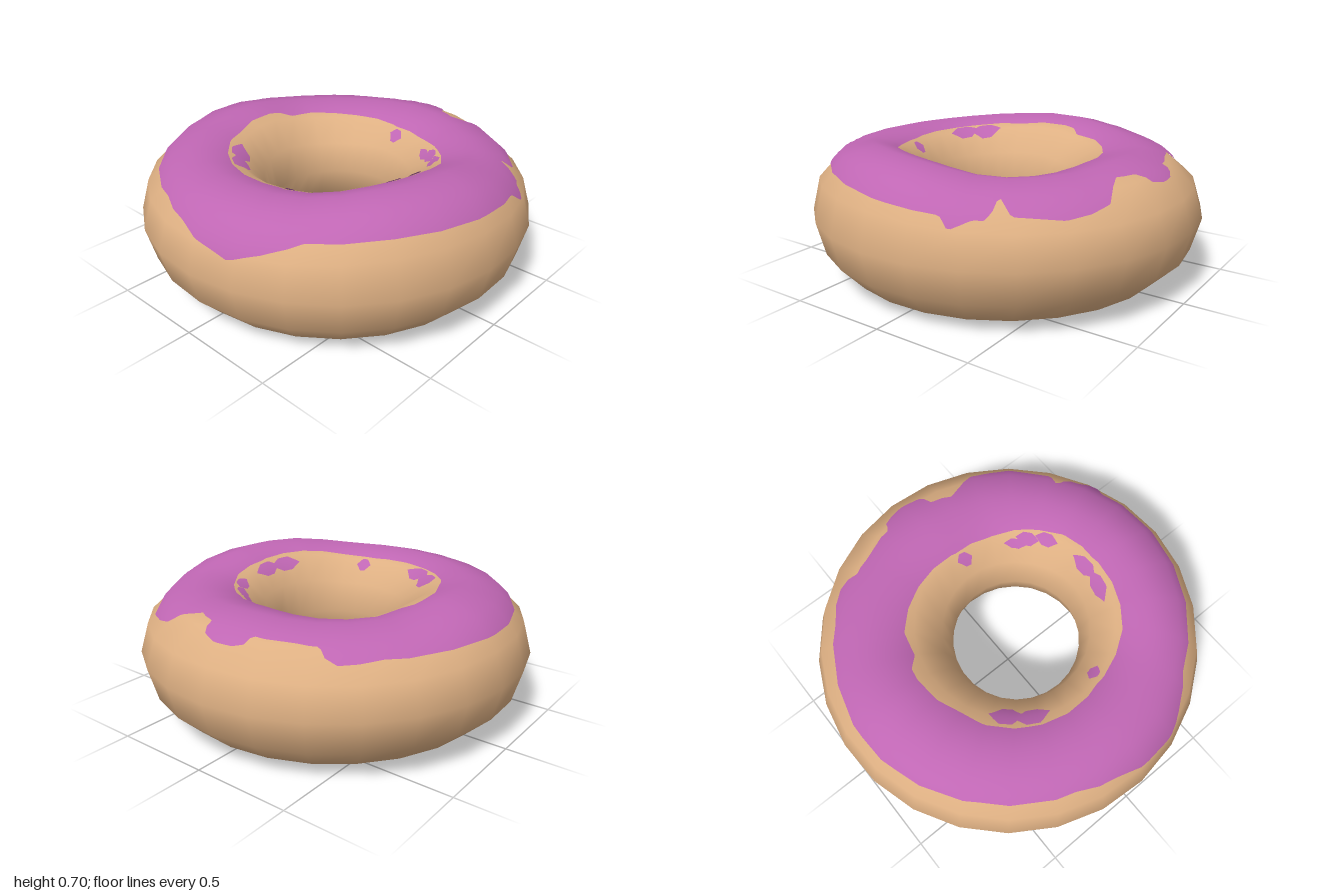
import * as THREE from 'three';

const RING = 0.665, TUBE = 0.332, SEG = 26, SIDES = 12;
const DEG = Math.PI / 180, PHASE = -2.3 * DEG;
const STEP_T = 2 * Math.PI / SEG, STEP_P = 2 * Math.PI / SIDES;

// Crest height every 30 degrees, from +x towards +z
const CREST = [0.645, 0.63, 0.632, 0.68, 0.687, 0.652, 0.647, 0.644, 0.657, 0.67, 0.634, 0.63];

// Icing edges as [angle in degrees, radius seen from above]
const OUTER = [[0, 0.87], [5, 0.85], [7, 0.78], [15, 0.76], [21, 0.82], [25.5, 0.885], [32, 0.91],
  [40, 0.92], [54, 0.9], [57, 0.82], [59, 0.89], [61, 0.92], [64, 0.92], [70, 0.955], [73, 0.92],
  [90, 0.92], [124, 0.905], [146, 0.9], [157, 0.945], [166, 0.97], [177, 0.95], [186, 0.925],
  [199, 0.9], [228, 0.9], [257, 0.91], [270, 0.91], [290, 0.89], [309, 0.875], [322, 0.89],
  [325.5, 0.86], [327, 0.81], [334, 0.8], [348, 0.8], [349.5, 0.85], [353, 0.868], [360, 0.87]];
const INNER = [[0, 0.46], [24, 0.48], [45, 0.52], [69, 0.55], [90, 0.54], [111, 0.55], [135, 0.56],
  [170, 0.54], [190, 0.55], [212, 0.55], [236, 0.54], [247, 0.52], [259, 0.53], [281, 0.53],
  [288, 0.485], [302, 0.51], [325, 0.49], [348, 0.47], [360, 0.46]];
// Loose icing spots in the hole: [from angle, to angle, inner radius, outer radius]
const SPOTS = [[199, 220, 0.46, 0.54], [214, 234, 0.44, 0.53], [159, 169, 0.46, 0.52],
  [79, 100, 0.46, 0.52], [94, 117, 0.46, 0.52], [32, 47, 0.43, 0.47], [40, 55, 0.45, 0.51],
  [52, 67, 0.47, 0.53], [-2, 9, 0.39, 0.45]];

function crest(t) {
  const f = ((t / (30 * DEG)) % 12 + 12) % 12, i = Math.floor(f), u = f - i;
  const [a, b, c, d] = [-1, 0, 1, 2].map(k => CREST[(i + k + 12) % 12]);
  return b + 0.5 * u * (c - a + u * (2 * a - 5 * b + 4 * c - d + u * (3 * (b - c) + d - a)));
}

// Smooth ring: t runs round the ring, p round the tube from the outside upwards
function ring(t, p) {
  const r = RING + TUBE * Math.cos(p), s = Math.sin(p), w = (1 - Math.cos(p)) / 2;
  const y = 0.335 + (s > 0 ? crest(t) - 0.335 : 0.335) * s;
  return new THREE.Vector3(r * Math.cos(t) - 0.025 * w, y, r * Math.sin(t) + 0.035 * w);
}

function ringNormal(t, p) {
  const e = 0.01;
  const dt = ring(t + e, p).sub(ring(t - e, p)), dp = ring(t, p + e).sub(ring(t, p - e));
  return dp.cross(dt).normalize();
}

// Point on the faceted ring
function facet(t, p) {
  const i = Math.floor((t - PHASE) / STEP_T + 1e-6), j = Math.floor(p / STEP_P + 1e-6);
  const t0 = PHASE + i * STEP_T, p0 = j * STEP_P;
  const u = (t - t0) / STEP_T, v = (p - p0) / STEP_P;
  const low = ring(t0, p0).lerp(ring(t0 + STEP_T, p0), u);
  const high = ring(t0, p0 + STEP_P).lerp(ring(t0 + STEP_T, p0 + STEP_P), u);
  return low.lerp(high, v);
}

// Sheet on the ring; place(u, v) gives [t, p, lift]
function sheet(name, cols, rows, material, place) {
  const pos = [], nor = [], idx = [];
  for (let i = 0; i <= cols; i++) {
    for (let j = 0; j <= rows; j++) {
      const [t, p, lift] = place(i / cols, j / rows);
      const n = ringNormal(t, p);
      pos.push(...facet(t, p).addScaledVector(n, lift).toArray());
      nor.push(...n.toArray());
      if (i < cols && j < rows) {
        const a = i * (rows + 1) + j, b = a + rows + 1;
        idx.push(a, a + 1, b, b, a + 1, b + 1);
      }
    }
  }
  const g = new THREE.BufferGeometry();
  g.setAttribute('position', new THREE.Float32BufferAttribute(pos, 3));
  g.setAttribute('normal', new THREE.Float32BufferAttribute(nor, 3));
  g.setIndex(idx);
  const mesh = new THREE.Mesh(g, material);
  mesh.name = name;
  return mesh;
}

function lookup(table, deg) {
  const d = ((deg % 360) + 360) % 360;
  const k = Math.max(1, table.findIndex(e => e[0] >= d));
  const [a, ra] = table[k - 1], [b, rb] = table[k];
  return ra + (rb - ra) * (d - a) / (b - a);
}

// Tube angle on the upper half for a radius seen from above
function tubeAngle(r, t) {
  const guess = Math.acos(THREE.MathUtils.clamp((r - RING) / TUBE, -1, 1));
  const w = (1 - Math.cos(guess)) / 2;
  const local = r - w * (0.035 * Math.sin(t) - 0.025 * Math.cos(t));
  return Math.acos(THREE.MathUtils.clamp((local - RING) / TUBE, -1, 1));
}

export function createModel() {
  const group = new THREE.Group();
  group.name = 'doughnut';
  const doughMat = new THREE.MeshStandardMaterial({ color: 0xdeb083 });
  const icingMat = new THREE.MeshStandardMaterial({ color: 0xbf66b3, side: THREE.DoubleSide });

  // Dough ring
  group.add(sheet('dough', SEG, SIDES, doughMat,
    (u, v) => [PHASE + u * 2 * Math.PI, v * 2 * Math.PI, 0]));

  // Icing with an uneven, dripping edge
  group.add(sheet('icing', SEG * 12, 18, icingMat, (u, v) => {
    const t = PHASE + u * 2 * Math.PI;
    const p0 = tubeAngle(lookup(OUTER, t / DEG), t), p1 = tubeAngle(lookup(INNER, t / DEG), t);
    return [t, p0 + (p1 - p0) * v, v === 0 || v === 1 ? 0.004 : 0.01];
  }));

  // Icing spots on the wall of the hole
  const spots = new THREE.Group();
  spots.name = 'icingSpots';
  for (const [a, b, r0, r1] of SPOTS) {
    spots.add(sheet('icingSpot', 12, 6, icingMat, (u, v) => {
      const t = (a + (b - a) * u) * DEG;
      const half = (r1 - r0) / 2 * Math.min(1, 3 * u, 3 * (1 - u));
      return [t, tubeAngle((r0 + r1) / 2 + half * (1 - 2 * v), t), 0.006];
    }));
  }
  group.add(spots);
  return group;
}
